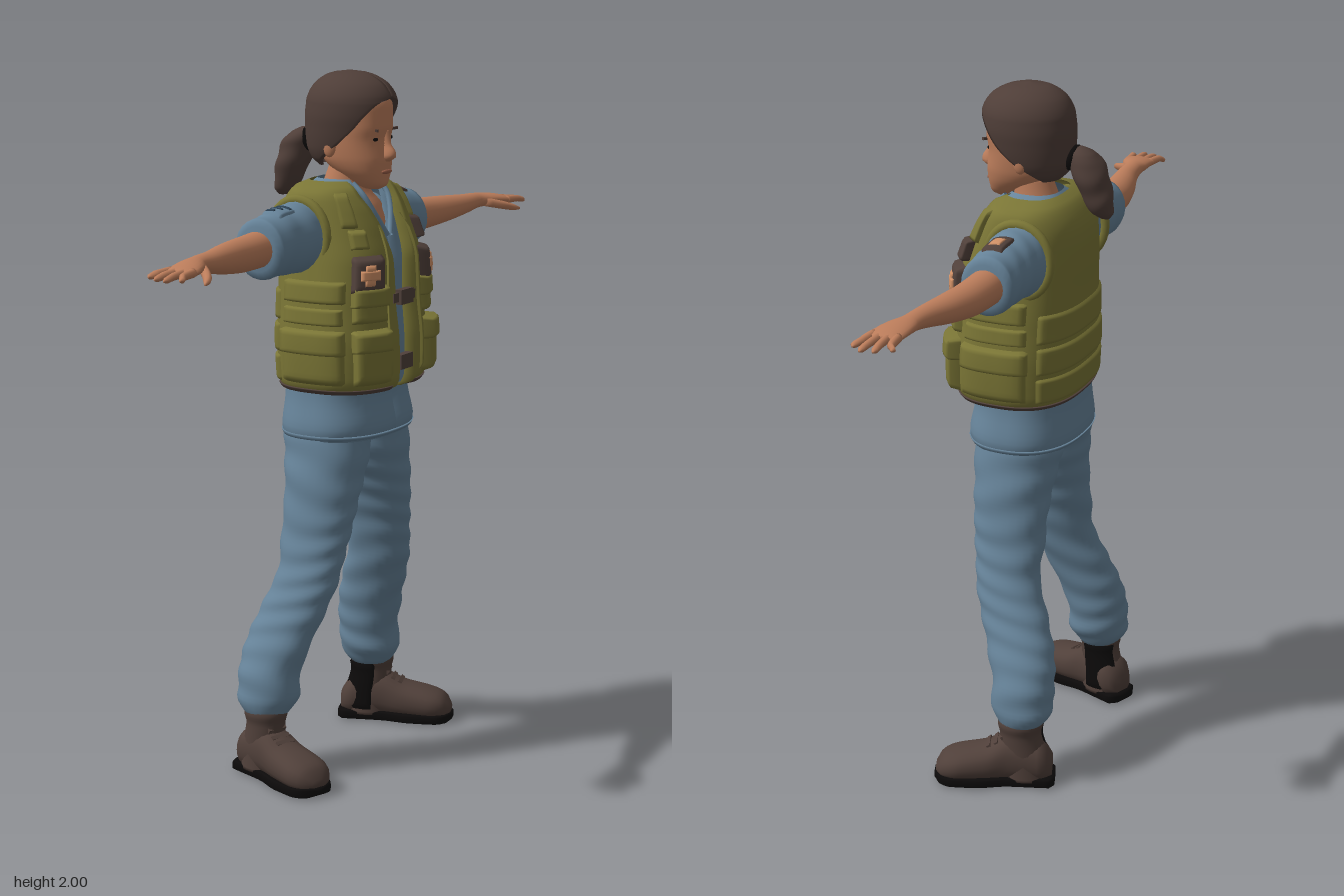
import * as THREE from 'three';

const mat = (name, color, side = THREE.FrontSide) => {
  const m = new THREE.MeshStandardMaterial({ color, side });
  m.name = name;
  return m;
};
const rad = THREE.MathUtils.degToRad;

// Monotone smooth interpolation of section rows [position, ...values]
function sample(rows, a) {
  let i = 0;
  while (i < rows.length - 2 && a > rows[i + 1][0]) i++;
  const slope = (k, c) => (rows[k + 1][c] - rows[k][c]) / (rows[k + 1][0] - rows[k][0]);
  const tangent = (k, c) => {
    if (k === 0) return slope(0, c);
    if (k === rows.length - 1) return slope(k - 1, c);
    const p = slope(k - 1, c), q = slope(k, c);
    return p * q <= 0 ? 0 : 2 * p * q / (p + q);
  };
  const h = rows[i + 1][0] - rows[i][0], s = (a - rows[i][0]) / h;
  return rows[i].map((p, c) => c === 0 ? a
    : p * (2 * s ** 3 - 3 * s * s + 1) + rows[i + 1][c] * (3 * s * s - 2 * s ** 3)
      + h * (tangent(i, c) * (s ** 3 - 2 * s * s + s) + tangent(i + 1, c) * (s ** 3 - s * s)));
}

// Body surface from rows [position, centre1, centre2, radius1, radius2, opening angle]
function body(rows, axis = 'y', n = 2, ripple = 0) {
  const at = (a, t, off = 0, k = 1) => {
    const [, c1, c2, r1, r2] = sample(rows, a);
    const pw = v => Math.sign(v) * Math.abs(v) ** (2 / n);
    const o = off + ripple * Math.sin(a * 75 + 2.5 * Math.sin(t + a * 9));
    const p = c1 + (r1 * k + o) * pw(Math.cos(t)), q = (r2 * k + o) * pw(Math.sin(t));
    if (axis === 'y') return [p, a, c2 + q];
    return axis === 'z' ? [p, c2 - q, a] : [a, p, c2 - q];
  };
  return { rows, at, first: rows[0][0], last: rows[rows.length - 1][0] };
}

// Grid surface; a closed one wraps around and gets end caps
function grid(f, nu, nv, closed = false) {
  const pos = [], idx = [], cols = closed ? nv : nv + 1;
  for (let i = 0; i <= nu; i++) for (let j = 0; j < cols; j++) pos.push(...f(i / nu, j / nv));
  const id = (i, j) => i * cols + (closed ? j % nv : j);
  for (let i = 0; i < nu; i++) for (let j = 0; j < nv; j++) {
    const a = id(i, j), b = id(i + 1, j), c = id(i, j + 1), d = id(i + 1, j + 1);
    idx.push(a, b, c, c, b, d);
  }
  if (closed) for (const i of [0, nu]) {
    const mid = pos.length / 3, p = f(i / nu, 0), q = f(i / nu, 0.5);
    pos.push(...p.map((v, k) => (v + q[k]) / 2));
    for (let j = 0; j < nv; j++) idx.push(mid, id(i, i ? j + 1 : j), id(i, i ? j : j + 1));
  }
  const g = new THREE.BufferGeometry();
  g.setAttribute('position', new THREE.Float32BufferAttribute(pos, 3));
  g.setIndex(idx);
  g.computeVertexNormals();
  return g;
}
const solid = (b, nu = 24, nv = 24) =>
  grid((u, v) => b.at(b.first + u * (b.last - b.first), v * Math.PI * 2), nu, nv, true);

// Garment open at the front, with its edges turned inward
const garment = (b, nu = 40, nv = 48) => grid((u, v) => {
  const a = b.first + u * (b.last - b.first), open = rad(sample(b.rows, a)[5]);
  const w = THREE.MathUtils.clamp((v * nv - 1) / (nv - 2), 0, 1);
  return b.at(a, open + w * (Math.PI * 2 - 2 * open), 0, v === 0 || v === 1 ? 0.84 : 1);
}, nu, nv);

// Raised pad lying on a body between two positions and two angles (degrees)
const pad = (b, a0, a1, t0, t1, h, nv = 12) => grid((u, v) => {
  const edge = Math.min(u * 12, (1 - u) * 12, v * nv, (1 - v) * nv);
  const off = edge < 0.5 ? -0.006 : edge < 1.5 ? h * 0.85 : h;
  return b.at(a0 + u * (a1 - a0), rad(t0 + v * (t1 - t0)), off);
}, 12, nv);

function mirror(geo) {
  const g = geo.clone().scale(1, 1, -1), x = g.index.array;
  for (let i = 0; i < x.length; i += 3) [x[i], x[i + 1]] = [x[i + 1], x[i]];
  return g;
}
const blob = (x, y, z, sx, sy, sz) => new THREE.SphereGeometry(1, 16, 12).scale(sx, sy, sz).translate(x, y, z);

export function createModel() {
  const model = new THREE.Group();
  model.name = 'fieldWorker';
  const olive = mat('oliveCloth', 0x7b7636, THREE.DoubleSide);
  const blue = mat('blueCloth', 0x67849a, THREE.DoubleSide);
  const navy = mat('darkBlue', 0x2f4558);
  const skin = mat('skin', 0xbc7d5b);
  const lip = mat('lips', 0x9c6049);
  const hairMat = mat('hair', 0x4f3e38, THREE.DoubleSide);
  const brown = mat('brownLeather', 0x50403a);
  const black = mat('blackRubber', 0x0c0a0a);
  const orange = mat('emblem', 0xd09066);
  const add = (name, geo, m) => {
    const mesh = new THREE.Mesh(geo, m);
    mesh.name = name;
    model.add(mesh);
  };
  const pair = (name, geo, m) => { add(name + 'Left', geo, m); add(name + 'Right', mirror(geo), m); };

  // Trousers
  pair('trouserLeg', solid(body([
    [.185, -.09, .295, .06, .058], [.205, -.09, .292, .076, .07], [.24, -.09, .287, .09, .083],
    [.3, -.09, .28, .09, .083], [.4, -.07, .255, .099, .075], [.5, -.035, .225, .1, .07],
    [.6, -.005, .197, .095, .07], [.7, 0, .172, .104, .076], [.8, .005, .148, .11, .09],
    [.9, .003, .12, .12, .108], [.97, 0, .105, .128, .11], [1.05, 0, .1, .125, .1]], 'y', 2.1, .0025), 70, 28), blue);

  // Boots, toes turned outward
  const place = g => g.rotateY(-.35).translate(-.09, 0, .302);
  const shaft = body([[.02, -.015, 0, .072, .06], [.1, -.008, 0, .066, .056], [.16, 0, 0, .06, .054],
    [.19, 0, 0, .066, .06], [.215, 0, 0, .058, .052]]);
  pair('bootShaft', place(solid(shaft)), brown);
  pair('bootFoot', place(solid(body([[-.092, .055, 0, .03, .035], [-.06, .07, 0, .06, .058], [.03, .08, 0, .07, .058],
    [.1, .065, 0, .055, .066], [.18, .055, 0, .046, .07], [.225, .048, 0, .035, .055], [.245, .04, 0, .012, .025]],
    'x', 2.3))), brown);
  pair('bootSole', place(solid(body([[-.1, .016, 0, .014, .04], [-.085, .016, 0, .016, .058], [.03, .016, 0, .016, .056],
    [.13, .016, 0, .016, .072], [.2, .016, 0, .016, .07], [.235, .017, 0, .015, .05], [.25, .02, 0, .01, .022]], 'x', 5))), black);
  pair('bootHeelPanel', place(pad(shaft, .03, .19, 185, 290, .006)), black);
  for (const [x, y] of [[.05, .15], [.068, .13], [.09, .12]])
    pair('bootLace', place(new THREE.BoxGeometry(.012, .01, .06).rotateZ(-.6).translate(x, y, 0)), brown);

  // Shirt with a V neck
  const shirt = body([[.975, .003, 0, .15, .212, 0], [1, .004, 0, .16, .22, 0], [1.1, 0, 0, .148, .205, 0],
    [1.25, .005, 0, .15, .2, 0], [1.45, 0, 0, .15, .195, 0], [1.54, -.005, 0, .14, .185, 1], [1.6, -.01, 0, .128, .175, 10],
    [1.66, -.01, 0, .105, .145, 22], [1.685, -.01, 0, .085, .1, 36], [1.7, -.01, 0, .07, .075, 45]], 'y', 2.4);
  add('shirt', garment(shirt), blue);
  add('shirtHem', grid((u, v) => shirt.at(.98 + u * .012, v * Math.PI * 2, .003), 2, 48, true), blue);
  add('chest', solid(body([[1.48, -.005, 0, .1, .12], [1.56, -.005, 0, .122, .14], [1.62, -.01, 0, .105, .12],
    [1.67, -.005, 0, .07, .07], [1.74, .01, 0, .057, .056]])), skin);
  pair('collarEdge', new THREE.TubeGeometry(new THREE.CatmullRomCurve3(
    [1.545, 1.58, 1.62, 1.66, 1.69].map(y => new THREE.Vector3(...shirt.at(y, rad(sample(shirt.rows, y)[5]), .002)))),
  16, .008, 8), blue);

  // Sleeves
  const sleeve = body([[.1, -.03, 1.55, .08, .085], [.2, -.04, 1.55, .088, .1], [.3, -.04, 1.546, .08, .09],
    [.4, -.038, 1.54, .076, .083], [.412, -.038, 1.54, .058, .062]], 'z', 2, .0015);
  pair('sleeve', solid(sleeve, 30), blue);
  const patch = (a0, a1, t0, t1, h) => pad(sleeve, a0, a1, t0, t1, h);
  add('sleevePatchLeft', patch(.27, .35, 250, 300, .006), blue);
  for (const k of [0, 1, 2]) add('sleeveStripeLeft', patch(.28 + k * .024, .29 + k * .024, 256, 294 - k * 8, .009), navy);
  add('sleevePatchRight', mirror(patch(.27, .36, 250, 300, .006)), brown);
  add('sleeveEmblemRight', mirror(patch(.29, .34, 262, 288, .009)), orange);

  // Arms, hands, fingers
  pair('arm', solid(body([[.2, -.04, 1.545, .05, .055], [.4, -.04, 1.54, .052, .05], [.5, -.035, 1.537, .05, .047],
    [.6, -.02, 1.54, .044, .04], [.7, 0, 1.546, .033, .029], [.76, .006, 1.55, .029, .023], [.8, .015, 1.55, .041, .02],
    [.85, .025, 1.546, .047, .017], [.885, .027, 1.543, .043, .011]], 'z'), 36), skin);
  for (const [x0, x1, z1] of [[-.008, -.026, .935], [.015, .012, .962], [.039, .046, .97], [.06, .078, .945]])
    pair('finger', solid(body([[.86, x0, 1.545, .012, .012], [.92, (x0 + x1) / 2, 1.543, .011, .01],
      [z1 - .008, x1, 1.538, .009, .008], [z1, x1, 1.537, .003, .003]], 'z'), 10, 10), skin);
  pair('thumb', solid(body([[.775, .03, 1.545, .016, .014], [.81, .066, 1.535, .016, .013], [.845, .092, 1.525, .012, .01],
    [.868, .102, 1.52, .004, .004]], 'z'), 10, 10), skin);

  // Vest
  const vest = body([[1.11, .018, 0, .14, .19, 6], [1.118, .018, 0, .165, .22, 6], [1.15, .02, 0, .178, .234, 6],
    [1.25, .018, 0, .18, .238, 6], [1.36, .014, 0, .174, .23, 7], [1.48, .01, 0, .174, .215, 9], [1.56, -.002, 0, .162, .203, 13],
    [1.62, -.012, 0, .145, .195, 18], [1.66, -.015, 0, .122, .187, 24], [1.685, -.015, 0, .1, .165, 28],
    [1.697, -.015, 0, .075, .11, 40]], 'y', 2.6);
  add('vest', garment(vest, 50, 60), olive);
  add('vestHemTrim', pad(vest, 1.112, 1.13, 7, 353, .005, 60), brown);
  for (const [y0, y1] of [[1.135, 1.215], [1.22, 1.305], [1.31, 1.4]])
    add('backPanel', pad(vest, y0, y1, 122, 238, .007, 30), olive);
  // Rows: name, bottom, top, first angle, last angle, height, material
  for (const [name, y0, y1, t0, t1, h, m] of [
    ['frontEdge', 1.13, 1.6, 14, 17, .008, olive],
    ['lowerPocket', 1.14, 1.29, 17, 54, .028, olive], ['lowerPocketFlap', 1.235, 1.3, 16, 55, .036, olive],
    ['middlePocket', 1.315, 1.41, 17, 54, .02, olive], ['middlePocketFlap', 1.36, 1.42, 16, 55, .028, olive],
    ['sidePocket', 1.14, 1.29, 60, 116, .014, olive], ['sidePocketFlap', 1.225, 1.3, 59, 117, .021, olive],
    ['sideBand', 1.31, 1.36, 60, 116, .01, olive], ['sideFlap', 1.37, 1.435, 58, 114, .016, olive],
    ['chestBadge', 1.4, 1.505, 21, 55, .026, brown],
    ['emblemTall', 1.417, 1.488, 32, 44, .03, orange], ['emblemWide', 1.436, 1.47, 27, 49, .0315, orange],
    ['shoulderStrap', 1.575, 1.675, 40, 60, .013, olive]]) pair(name, pad(vest, y0, y1, t0, t1, h), m);
  add('chestPouch', pad(vest, 1.52, 1.575, 34, 54, .022, 12), olive);
  add('chestRadio', pad(vest, 1.52, 1.585, -54, -34, .024, 12), brown);
  pair('armholeRim', new THREE.TorusGeometry(.093, .014, 10, 32).scale(1, 1.1, 1).translate(-.04, 1.55, .196), olive);
  for (const y of [1.19, 1.375]) {
    add('buckle', new THREE.BoxGeometry(.022, .042, .066).translate(.187, y, 0), brown);
    add('buckleStrap', new THREE.BoxGeometry(.012, .026, .12).translate(.183, y, 0), brown);
  }

  // Head and face
  add('head', solid(body([[1.672, .085, 0, .022, .018], [1.682, .08, 0, .045, .036], [1.7, .068, 0, .061, .054],
    [1.73, .046, 0, .087, .074], [1.76, .034, 0, .1, .084], [1.81, .03, 0, .098, .09], [1.85, .03, 0, .105, .092],
    [1.9, .03, 0, .104, .092], [1.95, .02, 0, .085, .075], [1.975, .015, 0, .04, .035]], 'y', 2.15), 36, 32), skin);
  add('nose', solid(body([[1.75, .125, 0, .012, .012], [1.763, .129, 0, .028, .02], [1.775, .128, 0, .029, .018],
    [1.8, .122, 0, .02, .012], [1.84, .116, 0, .017, .011]]), 14, 16), skin);
  add('mouth', blob(.129, 1.722, 0, .008, .007, .027), lip);
  pair('eye', blob(.116, 1.814, .038, .006, .006, .014), black);
  pair('eyebrow', new THREE.BoxGeometry(.008, .007, .036).rotateY(.4).rotateX(-.1).translate(.122, 1.838, .042), hairMat);
  pair('ear', blob(0, 1.795, .096, .02, .032, .012), skin);

  // Hair and ponytail
  add('hair', garment(body([[1.735, -.03, 0, .05, .06, 115], [1.755, -.015, 0, .085, .088, 105], [1.79, .002, 0, .118, .106, 84],
    [1.84, .01, 0, .13, .116, 60], [1.88, .014, 0, .134, .12, 46], [1.915, .016, 0, .132, .118, 26], [1.93, .016, 0, .128, .114, 0],
    [1.96, .015, 0, .11, .096, 0], [1.985, .012, 0, .075, .064, 0], [1.996, .01, 0, .04, .034, 0], [2, .01, 0, .002, .002, 0]]),
  48, 48), hairMat);
  add('ponytail', solid(body([[1.637, -.212, 0, .012, .01], [1.655, -.205, 0, .032, .028], [1.7, -.19, 0, .044, .045],
    [1.75, -.172, 0, .05, .053], [1.79, -.16, 0, .048, .05], [1.82, -.145, 0, .035, .035], [1.834, -.138, 0, .01, .01]],
  'y', 2, .002), 30), hairMat);
  add('hairTie', new THREE.TorusGeometry(.028, .011, 8, 20).rotateY(Math.PI / 2).rotateZ(.3).translate(-.12, 1.8, 0), black);
  return model;
}
